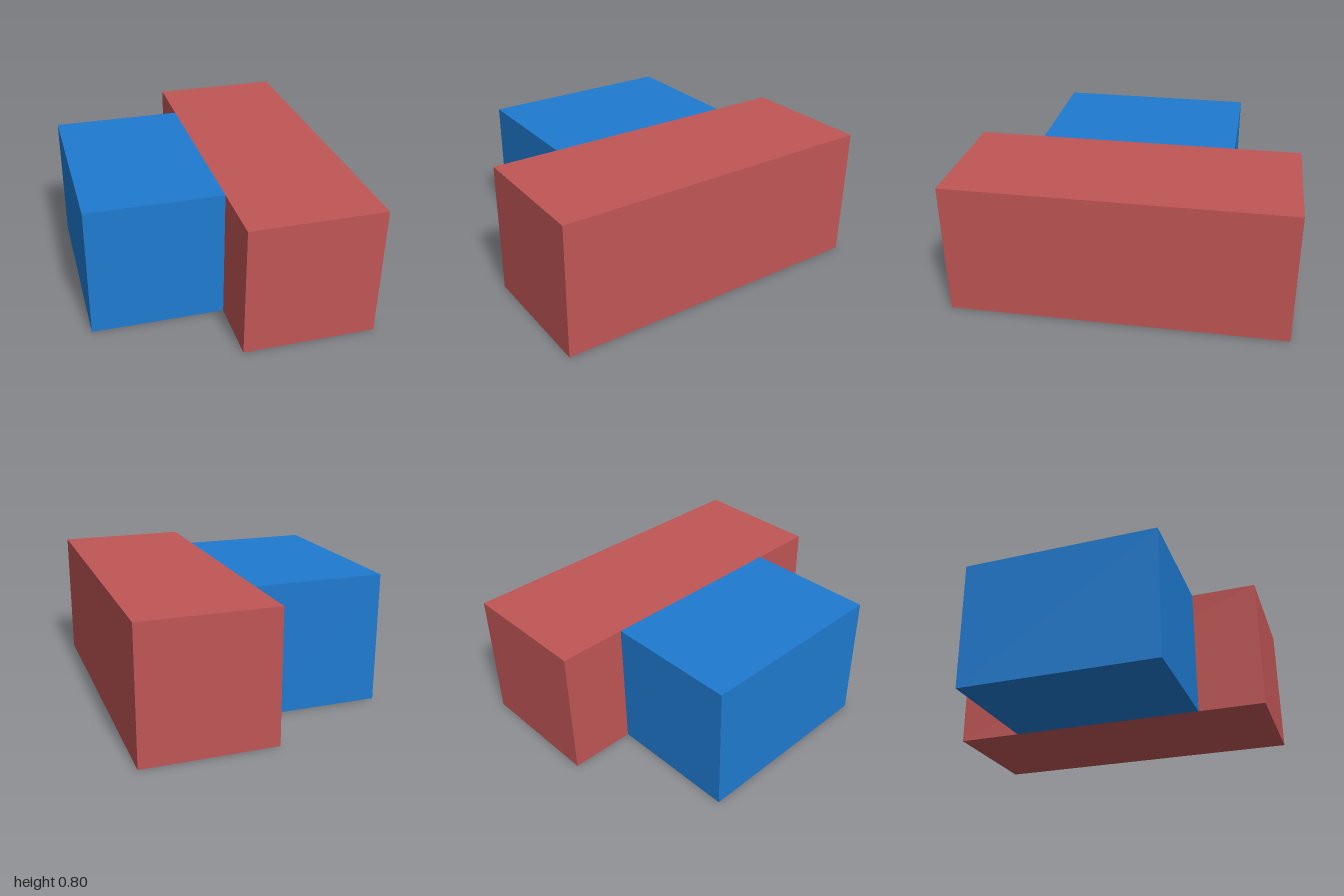
import * as THREE from 'three';

const HEIGHT = 0.8;
const WIDTH = 0.8;

// Box standing on the ground, centred on z = 0
function block(name, x, depth, color) {
  const mesh = new THREE.Mesh(
    new THREE.BoxGeometry(WIDTH, HEIGHT, depth),
    new THREE.MeshStandardMaterial({ color })
  );
  mesh.name = name;
  mesh.position.set(x, HEIGHT / 2, 0);
  return mesh;
}

export function createModel() {
  const model = new THREE.Group();
  model.name = 'joinedBlocks';
  model.add(
    block('longRedBlock', WIDTH / 2, 2, 0xc05555), // long block on the left
    block('shortBlueBlock', -WIDTH / 2, 1.2, 0x1e7bd0) // shorter block on the right
  );
  return model;
}
